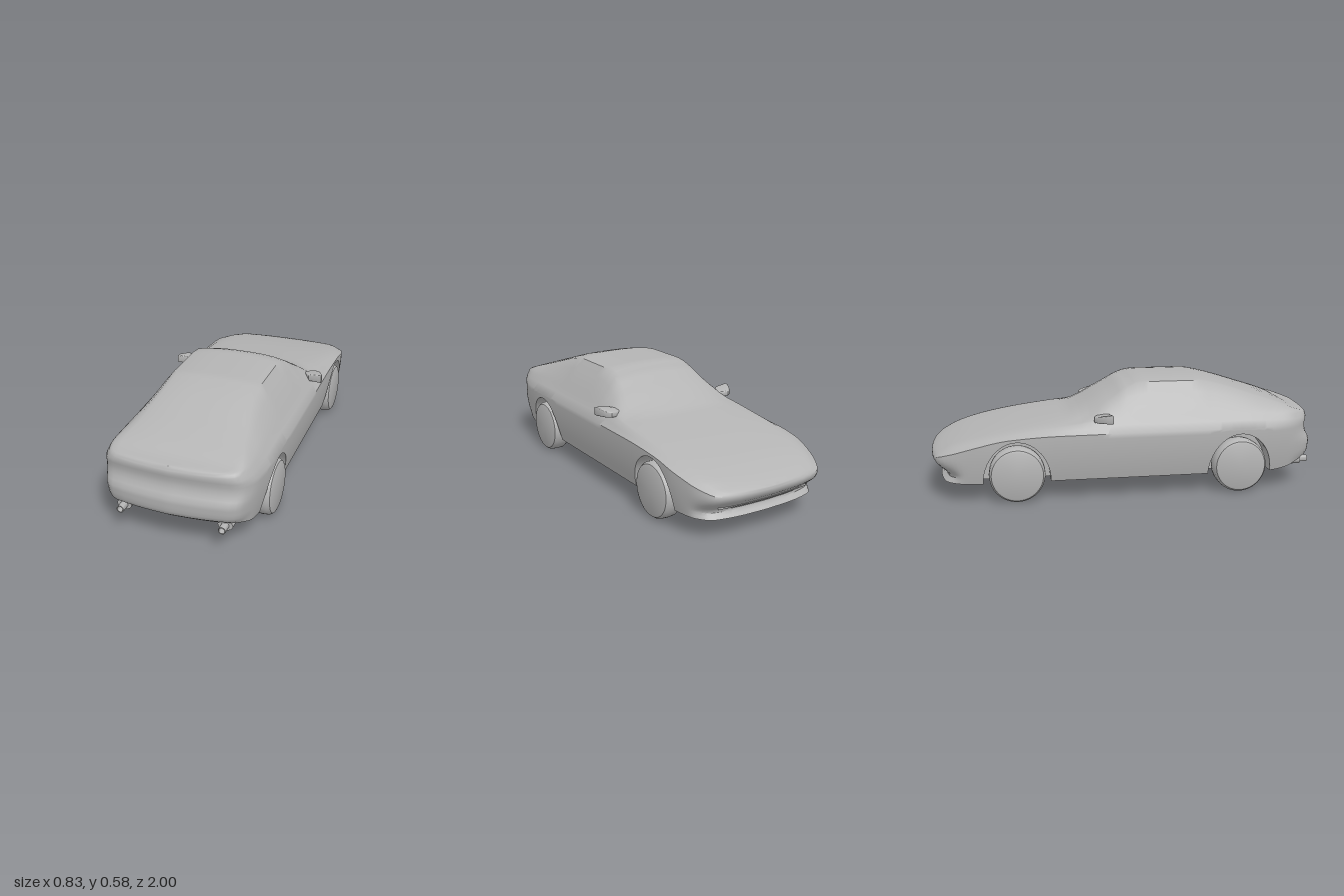
import * as THREE from 'three';
import { toCreasedNormals } from 'three/addons/utils/BufferGeometryUtils.js';

const paint = new THREE.MeshStandardMaterial({ color: 0xb4b4b4 });
paint.name = 'plain grey';

// Smooth, overshoot-free curve through [position, value] pairs
function curve(pts) {
  const n = pts.length;
  const d = pts.slice(1).map((p, i) => (p[1] - pts[i][1]) / (p[0] - pts[i][0]));
  const m = pts.map((p, i) => {
    if (i === 0) return d[0];
    if (i === n - 1) return d[n - 2];
    return d[i - 1] * d[i] <= 0 ? 0 : (2 * d[i - 1] * d[i]) / (d[i - 1] + d[i]);
  });
  return (z) => {
    if (z <= pts[0][0]) return pts[0][1];
    if (z >= pts[n - 1][0]) return pts[n - 1][1];
    let i = 0;
    while (z > pts[i + 1][0]) i++;
    const h = pts[i + 1][0] - pts[i][0], t = (z - pts[i][0]) / h, s = 1 - t;
    return pts[i][1] * (1 + 2 * t) * s * s + m[i] * h * t * s * s
      + pts[i + 1][1] * t * t * (3 - 2 * t) - m[i + 1] * h * t * t * s;
  };
}

// Body lines along the length (nose at -z, tail at +z)
const halfWidth = curve([[-1, 0], [-0.995, 0.13], [-0.985, 0.21], [-0.965, 0.29], [-0.93, 0.325], [-0.85, 0.36],
  [-0.7, 0.387], [-0.3, 0.39], [0.6, 0.39], [0.8, 0.375], [0.93, 0.337], [0.965, 0.30], [0.985, 0.2], [0.995, 0.1], [1, 0]]);
const topY = curve([[-1, 0.232], [-0.97, 0.256], [-0.9, 0.283], [-0.8, 0.312], [-0.6, 0.355], [-0.35, 0.395], [-0.31, 0.402],
  [-0.1, 0.508], [0.03, 0.572], [0.09, 0.583], [0.37, 0.583], [0.44, 0.572], [0.7, 0.495], [0.93, 0.42], [1, 0.408]]);
const roofY = curve([[-1, 0.23], [-0.9, 0.278], [-0.6, 0.347], [-0.35, 0.382], [-0.24, 0.393], [-0.1, 0.472],
  [0.05, 0.558], [0.12, 0.566], [0.36, 0.566], [0.44, 0.553], [0.7, 0.475], [0.93, 0.41], [1, 0.402]]);
const roofRatio = curve([[-1, 0.78], [-0.35, 0.78], [-0.22, 0.77], [0.06, 0.59], [0.42, 0.59], [0.7, 0.69], [0.93, 0.9], [1, 0.92]]);
const beltY = curve([[-1, 0.225], [-0.9, 0.268], [-0.6, 0.338], [-0.35, 0.37], [-0.2, 0.388], [0, 0.41], [0.6, 0.41], [0.93, 0.39], [1, 0.385]]);
const beltRatio = curve([[-1, 0.9], [-0.35, 0.9], [0, 0.87], [0.6, 0.87], [0.93, 0.95], [1, 0.96]]);
const shoulderY = curve([[-1, 0.215], [-0.9, 0.25], [-0.6, 0.322], [-0.35, 0.335], [0.7, 0.34], [0.95, 0.355], [1, 0.36]]);
const floorY = curve([[-1, 0.1], [0.73, 0.1], [0.97, 0.148], [1, 0.15]]);
// How far nose and tail are pulled in at each height
const noseInset = curve([[0.1, 0.045], [0.13, 0.07], [0.16, 0.045], [0.19, 0.012], [0.215, 0], [0.26, 0.012]]);
const tailInset = curve([[0.15, 0.035], [0.18, 0.004], [0.25, 0], [0.29, 0.022], [0.33, 0.03], [0.38, 0.022], [0.41, 0.035]]);

const AXLES = [-0.57, 0.57], ARCH = 0.167;
const axleNear = (z) => AXLES.find((a) => Math.abs(z - a) <= ARCH + 1e-6);
const archY = (z) => {
  const a = axleNear(z);
  if (a === undefined) return floorY(z);
  return floorY(z) + 0.21 * Math.sqrt(Math.max(0, 1 - ((z - a) / ARCH) ** 2));
};

// Cross-section stations: even spacing, fine at the ends and round the arches
const stations = (() => {
  const s = [];
  for (let i = 0; i <= 64; i++) s.push(Math.sin((i / 64 - 0.5) * Math.PI));
  for (let z = -0.36; z < 0.4; z += 0.04) s.push(z);
  const outside = s.filter((z) => !AXLES.some((a) => Math.abs(z - a) < ARCH + 0.004));
  for (const a of AXLES) {
    outside.push(a - ARCH - 0.001, a + ARCH + 0.001);
    for (let i = 0; i <= 24; i++) outside.push(a - ARCH * Math.cos((i / 24) * Math.PI));
  }
  return outside.sort((p, q) => p - q);
})();

function place(x, y, z) {
  const nose = THREE.MathUtils.smoothstep(-z, 0.8, 0.97), tail = THREE.MathUtils.smoothstep(z, 0.82, 0.97);
  return [x, y, z + noseInset(y) * nose - tailInset(y) * tail];
}
const sideX = (z, y) => halfWidth(z) * (1 - 0.08 * Math.max(0, (shoulderY(z) - y) / 0.235) ** 2);

// Left half of the outer skin, sill to roof centre
function skinHalf(z) {
  const X = halfWidth(z), bottom = archY(z), sh = shoulderY(z), pts = [];
  for (let k = 0; k <= 10; k++) {
    const y = bottom + (sh - bottom) * (k / 10);
    pts.push([sideX(z, y), y]);
  }
  const bx = X * beltRatio(z), by = beltY(z), rx = X * roofRatio(z), ry = roofY(z);
  pts.push([X * 0.35 + bx * 0.65 + 0.012 * X, sh + (by - sh) * 0.5], [bx, by]);
  for (const t of [0.33, 0.67]) pts.push([bx + (rx - bx) * t + 0.012 * X, by + (ry - by) * t]);
  for (const t of [1, 0.9, 0.75, 0.5, 0.25, 0]) pts.push([rx * t, topY(z) - (topY(z) - ry) * t ** 3]);
  return pts;
}
const mirrored = (half) => [...half, ...half.slice(0, -1).reverse().map(([x, y]) => [-x, y])];
const skin = (z) => mirrored(skinHalf(z));

// Flat floor with the wheel wells stepped up into it, right to left
function underside(z) {
  const y = archY(z), f = floorY(z), outer = sideX(z, y);
  const inner = axleNear(z) === undefined ? outer : Math.min(outer, 0.275);
  const half = [[outer, y], [inner, y], [inner, f], [0, f]];
  return mirrored(half).reverse();
}

function loft(section, zs, crease, offset = 0) {
  const pos = [], index = [];
  const rows = section(zs[0]).length;
  for (const z of zs) for (const [x, y] of section(z)) pos.push(...place(x + offset, y, z));
  for (let i = 0; i < zs.length - 1; i++) {
    for (let j = 0; j < rows - 1; j++) {
      const a = i * rows + j, b = a + rows;
      index.push(a, a + 1, b, a + 1, b + 1, b);
    }
  }
  const g = new THREE.BufferGeometry();
  g.setAttribute('position', new THREE.Float32BufferAttribute(pos, 3));
  g.setIndex(index);
  return toCreasedNormals(g, crease);
}

function add(parent, name, geometry) {
  const mesh = new THREE.Mesh(geometry, paint);
  mesh.name = name;
  parent.add(mesh);
  return mesh;
}

export function createModel() {
  const car = new THREE.Group();
  car.name = 'car';
  add(car, 'bodyShell', loft(skin, stations, 0.7));
  add(car, 'underbodyAndWheelWells', loft(underside, stations, 0.5));

  // Wheels: rounded solid discs, domed slightly outwards
  const wheelProfile = [[0, 0], [0.11, 0], [0.128, 0.005], [0.138, 0.02], [0.14, 0.05], [0.138, 0.08],
    [0.128, 0.095], [0.118, 0.099], [0, 0.102]].map(([r, h]) => new THREE.Vector2(r, h));
  const wheelGeo = toCreasedNormals(new THREE.LatheGeometry(wheelProfile, 48), 0.6);

  // Door mirror outline seen from above (x, -z)
  const outline = new THREE.Shape([[0.315, 0.135], [0.345, 0.108], [0.41, 0.1], [0.409, 0.115], [0.385, 0.165],
    [0.365, 0.18], [0.34, 0.178], [0.315, 0.165]].map(([x, y]) => new THREE.Vector2(x, y)));
  const mirrorGeo = new THREE.ExtrudeGeometry(outline, {
    depth: 0.03, bevelEnabled: true, bevelSize: 0.005, bevelThickness: 0.005, bevelSegments: 3,
  });
  mirrorGeo.rotateX(-Math.PI / 2).translate(0, 0.396, 0);
  // Lower the housing towards the car and towards its front edge
  const p = mirrorGeo.attributes.position;
  for (let i = 0; i < p.count; i++) {
    const drop = 0.1 * (0.415 - p.getX(i)) + 0.16 * Math.max(0, -p.getZ(i) - 0.12);
    if (p.getY(i) > 0.41) p.setY(i, p.getY(i) + 0.004 - drop);
  }
  const mirrorSmooth = toCreasedNormals(mirrorGeo, 0.6);

  for (const side of [1, -1]) {
    const label = side > 0 ? 'left' : 'right';
    AXLES.forEach((z, i) => {
      const wheel = add(car, label + (i ? 'Rear' : 'Front') + 'Wheel', wheelGeo);
      wheel.rotation.z = -side * Math.PI / 2;
      wheel.position.set(side * 0.288, 0.14, z);
    });

    // Door mirror: the right one has its triangles turned round
    const g = mirrorSmooth.clone();
    if (side < 0) {
      g.scale(-1, 1, 1);
      for (const key of ['position', 'normal', 'uv']) {
        const at = g.attributes[key], n = at.itemSize, arr = at.array;
        for (let i = 0; i < at.count; i += 3) {
          for (let k = 0; k < n; k++) {
            const a = i * n + n + k, b = a + n;
            [arr[a], arr[b]] = [arr[b], arr[a]];
          }
        }
      }
    }
    add(car, label + 'DoorMirror', g);

    // Exhaust: oval silencer with a narrower tailpipe
    const exhaust = new THREE.Group();
    exhaust.name = label + 'Exhaust';
    exhaust.position.set(side * 0.25, 0.129, 0);
    const silencer = add(exhaust, 'silencer', new THREE.CylinderGeometry(0.026, 0.026, 0.11, 24).rotateX(Math.PI / 2));
    silencer.scale.x = 1.4;
    silencer.position.z = 0.875;
    const pipe = [[0, -0.02], [0.018, -0.02], [0.018, 0.05], [0.014, 0.05], [0.013, 0.02], [0, 0.02]];
    const pipeGeo = new THREE.LatheGeometry(pipe.map(([r, h]) => new THREE.Vector2(r, h)), 24).rotateX(Math.PI / 2);
    add(exhaust, 'tailpipe', toCreasedNormals(pipeGeo, 0.6)).position.z = 0.925;
    car.add(exhaust);
  }

  // Slim intake bar across the lower nose
  const bar = new THREE.CatmullRomCurve3([-0.26, -0.13, 0, 0.13, 0.26].map((x) =>
    new THREE.Vector3(x, 0.15, -0.94 + 0.28 * x * x)));
  add(car, 'frontIntakeBar', new THREE.TubeGeometry(bar, 24, 0.006, 8));
  return car;
}
